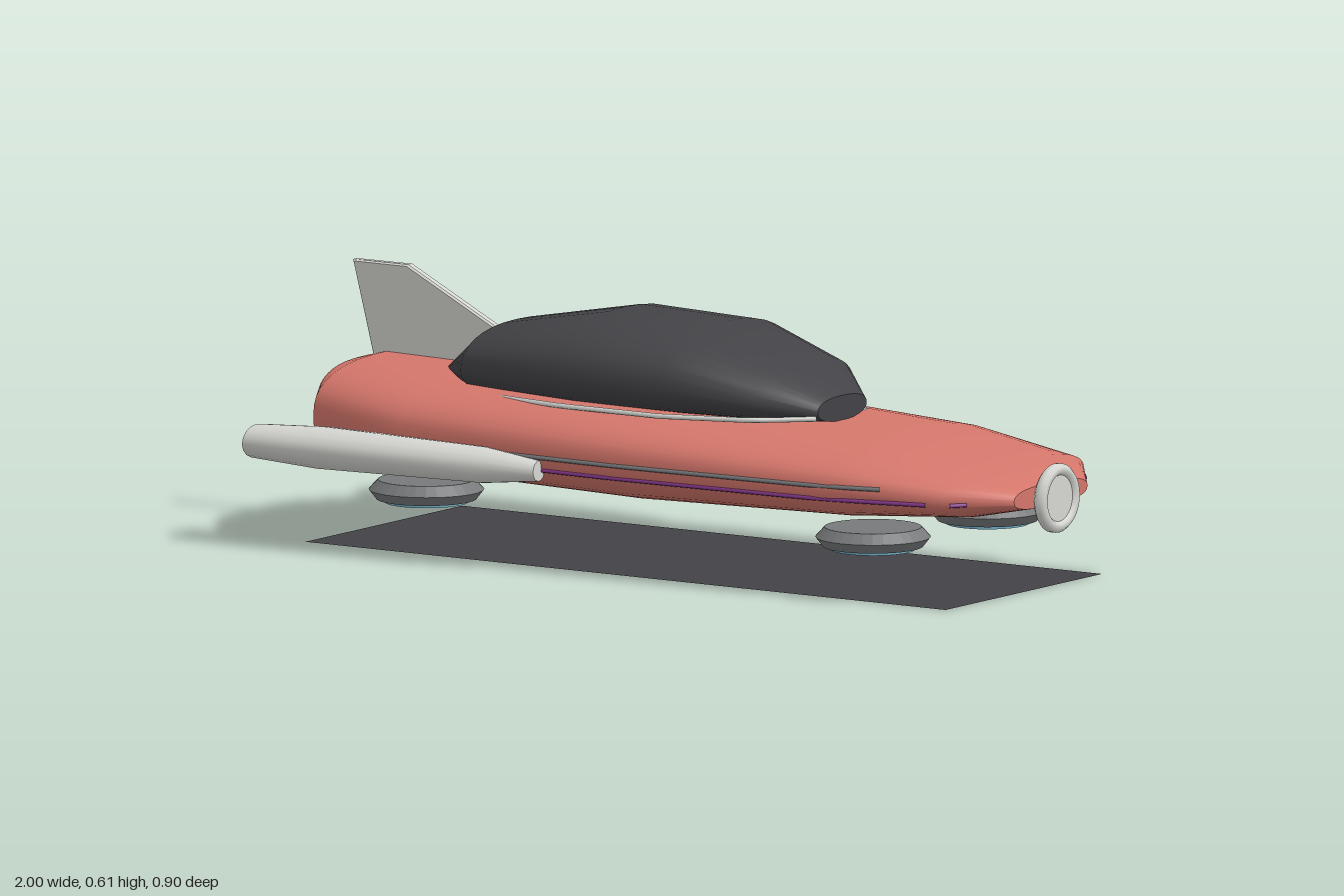
import * as THREE from 'three';

const paint = (name, color, side = THREE.FrontSide) =>
  Object.assign(new THREE.MeshStandardMaterial({ color, side }), { name });

// Cross-sections along x: [x, half width, bottom y, widest y, top y]
const BODY = [
  [-0.955, 0.17, 0.23, 0.30, 0.37],
  [-0.94, 0.2, 0.215, 0.3, 0.388],
  [-0.875, 0.31, 0.18, 0.29, 0.405],
  [-0.6, 0.365, 0.165, 0.275, 0.4],
  [0, 0.38, 0.155, 0.265, 0.378],
  [0.57, 0.358, 0.168, 0.255, 0.345],
  [0.86, 0.29, 0.188, 0.245, 0.302],
  [0.965, 0.15, 0.208, 0.235, 0.262],
];
const CANOPY = [
  [-0.65, 0.09, 0.375, 0.395, 0.412],
  [-0.52, 0.23, 0.355, 0.42, 0.51],
  [-0.22, 0.278, 0.35, 0.435, 0.565],
  [0.06, 0.273, 0.35, 0.435, 0.556],
  [0.275, 0.205, 0.352, 0.41, 0.487],
  [0.385, 0.1, 0.355, 0.385, 0.413],
];
const POD = [
  [-0.985, 0.06, 0.196, 0.235, 0.274],
  [-0.8, 0.07, 0.186, 0.235, 0.284],
  [-0.35, 0.054, 0.193, 0.235, 0.277],
  [-0.2, 0.024, 0.21, 0.234, 0.258],
];

// Superelliptic ring for one section
function ring([x, w, yb, ym, yt], n, count) {
  const f = (v) => Math.sign(v) * Math.abs(v) ** (2 / n);
  return Array.from({ length: count }, (_, i) => {
    const a = (i / count) * Math.PI * 2;
    const s = f(Math.sin(a));
    return [x, ym + s * (s > 0 ? yt - ym : ym - yb), w * f(Math.cos(a))];
  });
}

// Smooth skin through the sections, closed by flat end caps
function loft(sections, n, count) {
  const pos = [], idx = [];
  sections.forEach((s) => ring(s, n, count).forEach((p) => pos.push(...p)));
  for (let s = 0; s < sections.length - 1; s++) {
    for (let i = 0; i < count; i++) {
      const a = s * count + i, b = s * count + ((i + 1) % count);
      idx.push(a, a + count, b, b, a + count, b + count);
    }
  }
  [0, sections.length - 1].forEach((s) => {
    const start = pos.length / 3;
    ring(sections[s], n, count).forEach((p) => pos.push(...p));
    for (let i = 1; i < count - 1; i++) {
      if (s === 0) idx.push(start, start + i, start + i + 1);
      else idx.push(start, start + i + 1, start + i);
    }
  });
  const g = new THREE.BufferGeometry();
  g.setAttribute('position', new THREE.Float32BufferAttribute(pos, 3));
  g.setIndex(idx);
  g.computeVertexNormals();
  return g;
}

// Half width of the body at a given x and height
function bodySide(x, y) {
  const k = Math.max(1, BODY.findIndex((s) => s[0] >= x));
  const a = BODY[k - 1], b = BODY[k], t = (x - a[0]) / (b[0] - a[0]);
  const [w, yb, ym, yt] = [1, 2, 3, 4].map((i) => a[i] + (b[i] - a[i]) * t);
  const d = Math.abs(y - ym) / (y > ym ? yt - ym : ym - yb);
  return w * (1 - Math.min(d, 1) ** 2.6) ** (1 / 2.6);
}

// Thin rod through a list of points
function rod(points, radius) {
  const path = new THREE.CurvePath();
  for (let i = 1; i < points.length; i++) path.add(new THREE.LineCurve3(points[i - 1], points[i]));
  return new THREE.TubeGeometry(path, points.length * 4, radius, 6, false);
}

export function createModel() {
  const red = paint('coral paint', 0xd4766b);
  const dark = paint('dark glass', 0x434347, THREE.DoubleSide);
  const silver = paint('silver', 0xd6d6d2, THREE.DoubleSide);
  const grey = paint('grey metal', 0x77797b, THREE.DoubleSide);
  const blue = paint('hover blue', 0x6fa8c0);
  const purple = paint('purple stripe', 0x86388a, THREE.DoubleSide);

  const group = new THREE.Group();
  const add = (name, geometry, material, x = 0, y = 0, z = 0) => {
    const m = new THREE.Mesh(geometry, material);
    m.name = name;
    m.position.set(x, y, z);
    group.add(m);
    return m;
  };

  add('body', loft(BODY, 2.6, 40), red);
  add('canopy', loft(CANOPY, 2.3, 32), dark);

  // Tail fin, a bevelled plate
  const outline = [[-0.965, 0.607], [-0.817, 0.607], [-0.555, 0.475], [-0.555, 0.38], [-0.905, 0.38]];
  const finShape = new THREE.Shape(outline.map(([x, y]) => new THREE.Vector2(x, y)));
  const fin = new THREE.ExtrudeGeometry(finShape, {
    depth: 0.016, bevelThickness: 0.005, bevelSize: 0.004, bevelSegments: 1,
  });
  add('tailFin', fin, silver, 0, 0, -0.008);

  // Round nose intake
  const intake = new THREE.LatheGeometry([
    [0.055, -0.015], [0.072, -0.015], [0.08, -0.007], [0.08, 0.006], [0.072, 0.015],
    [0.06, 0.015], [0.053, 0.006],
  ].map(([r, h]) => new THREE.Vector2(r, h)), 32);
  intake.rotateZ(-Math.PI / 2);
  add('noseRing', intake, silver, 0.982, 0.227);
  const disc = new THREE.CylinderGeometry(0.056, 0.056, 0.03, 32);
  disc.rotateZ(-Math.PI / 2);
  add('noseDisc', disc, silver, 0.974, 0.227);

  const podGeometry = loft(POD, 2, 16);
  const exhaust = new THREE.CylinderGeometry(1, 1, 0.03, 16);
  exhaust.rotateZ(Math.PI / 2);
  exhaust.scale(1, 0.025, 0.034);

  // Hover pads: flared grey rim with a glowing underside
  const padGeometry = new THREE.LatheGeometry([
    [0, 0.115], [0.116, 0.115], [0.133, 0.137], [0.112, 0.16], [0, 0.16],
  ].flatMap(([r, h]) => [new THREE.Vector2(r, h)]), 32).toNonIndexed();
  padGeometry.computeVertexNormals();
  const glowGeometry = new THREE.CylinderGeometry(0.097, 0.097, 0.008, 32);

  for (const side of [1, -1]) {
    const label = side > 0 ? 'left' : 'right';
    add(label + 'Pod', podGeometry, silver, 0, 0, side * 0.38);
    add(label + 'Exhaust', exhaust, red, -0.985, 0.235, side * 0.38);

    for (const [end, x] of [['front', 0.63], ['rear', -0.612]]) {
      add(label + end + 'HoverPad', padGeometry, grey, x, 0, side * 0.234);
      add(label + end + 'HoverGlow', glowGeometry, blue, x, 0.111, side * 0.234);
    }

    // Side stripes hugging the body
    const stripe = (name, from, to, y, material) => {
      const pts = Array.from({ length: 13 }, (_, i) => {
        const x = from + ((to - from) * i) / 12;
        return new THREE.Vector3(x, y, side * bodySide(x, y));
      });
      add(label + name, rod(pts, 0.005), material);
    };
    stripe('LowerStripe', -0.3, 0.82, 0.234, purple);
    stripe('StripeDash', 0.87, 0.895, 0.234, purple);
    stripe('UpperStripe', -0.3, 0.71, 0.264, grey);

    // Silver trim around the canopy base
    const trim = [[-0.4, 0.243], [-0.22, 0.27], [0.06, 0.268], [0.27, 0.2], [0.38, 0.1]];
    add(label + 'CanopyTrim',
      rod(trim.map(([x, z]) => new THREE.Vector3(x, 0.37, side * z)), 0.006), silver);
  }

  // Flat ground plate under the craft
  const plate = new THREE.PlaneGeometry(1.78, 0.64);
  plate.rotateX(-Math.PI / 2);
  add('groundPlate', plate, dark);

  return group;
}
